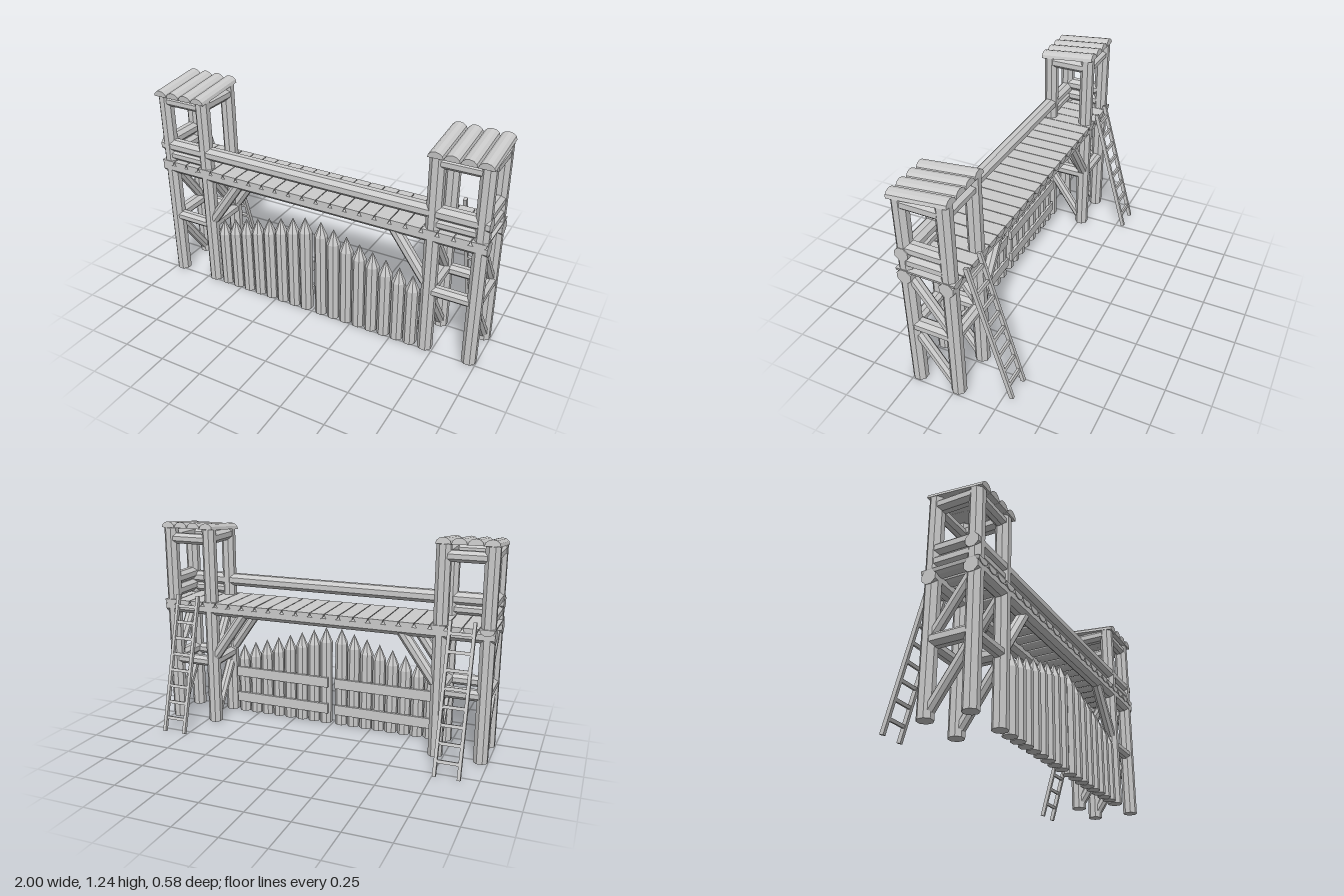
import * as THREE from 'three';

const mat = new THREE.MeshStandardMaterial({ color: 0xcccccc, flatShading: true });
const V = (x, y, z) => new THREE.Vector3(x, y, z);
const UP = V(0, 1, 0);

export function createModel() {
  const root = new THREE.Group();
  root.name = 'palisadeGate';

  const add = (name, geo, parent = root) => {
    const m = new THREE.Mesh(geo, mat);
    m.name = name;
    parent.add(m);
    return m;
  };
  const group = (name) => {
    const g = new THREE.Group();
    g.name = name;
    root.add(g);
    return g;
  };

  // Eight-sided log between two points; r is measured to the flats
  const log = (name, a, b, r, parent) => {
    const R = r / Math.cos(Math.PI / 8);
    const geo = new THREE.CylinderGeometry(R, R, a.distanceTo(b), 8).rotateY(Math.PI / 8);
    const m = add(name, geo, parent);
    m.position.copy(a).add(b).multiplyScalar(0.5);
    m.quaternion.setFromUnitVectors(UP, b.clone().sub(a).normalize());
    return m;
  };

  // Split log running along z: flat below when dir = 1, flat on top when dir = -1
  const splitLog = (r, h, length, dir) => {
    const s = new THREE.Shape();
    for (let i = 0; i <= 6; i++) {
      const t = (i / 6) * Math.PI;
      const x = r * Math.cos(t), y = dir * h * Math.sin(t);
      if (i) s.lineTo(x, y); else s.moveTo(x, y);
    }
    s.closePath();
    return new THREE.ExtrudeGeometry(s, { depth: length, bevelEnabled: false });
  };

  const FZ = 0.222, BZ = -0.014, OX = 0.958, IX = 0.702;

  // Towers, mirrored left and right
  for (const s of [1, -1]) {
    const side = s > 0 ? 'left' : 'right';
    const tower = group(side + 'Tower');
    for (const x of [OX * s, IX * s]) {
      log('frontPost', V(x, 0, FZ), V(x, 1.175, FZ), 0.039, tower);
      log('backPost', V(x, 0, BZ), V(x, 1.2, BZ), 0.039, tower);
      // Side crossbars and diagonal braces
      for (const y of [0.39, 1.147]) log('sideBar', V(x, y, FZ), V(x, y, BZ), 0.036, tower);
      log('lowerBrace', V(x, 0.325, 0.2), V(x, 0.045, 0.005), 0.027, tower);
      log('upperBrace', V(x, 0.695, 0.2), V(x, 0.42, 0.005), 0.027, tower);
    }
    // Front and back crossbars
    for (const z of [FZ, BZ]) {
      for (const y of [0.385, 1.137]) {
        log('crossBar', V(OX * s, y, z), V(IX * s, y, z), 0.031, tower);
      }
    }
    // Parapet rails
    log('frontParapet', V(OX * s, 0.8, FZ), V(IX * s, 0.8, FZ), 0.031, tower);
    for (const y of [0.81, 0.885]) {
      log('sideParapet', V(OX * s, y, FZ), V(OX * s, y, BZ), 0.036, tower);
    }
    // Sloping roof of split logs
    for (let i = 0; i < 4; i++) {
      const m = add('roofLog', splitLog(0.042, 0.036, 0.326, 1), tower);
      m.position.set(s * (0.957 - i * 0.0848), 1.202, -0.054);
      m.rotation.x = 0.104;
    }
    // Knee braces under the walkway
    for (const z of [FZ, BZ]) {
      log('kneeBrace', V(s * 0.68, 0.43, z), V(s * 0.475, 0.72, z), 0.03, tower);
    }

    // Ladder leaning on the back
    const ladder = group(side + 'Ladder');
    const foot = V(s * 0.83, 0.004, -0.295), top = V(s * 0.83, 0.803, -0.066);
    const len = foot.distanceTo(top);
    for (const x of [-0.066, 0.066]) {
      add('ladderRail', new THREE.BoxGeometry(0.018, len, 0.023), ladder).position.x = x;
    }
    for (let i = 0; i < 8; i++) {
      add('rung', new THREE.BoxGeometry(0.13, 0.018, 0.016), ladder)
        .position.y = -len / 2 + 0.083 + i * 0.097;
    }
    ladder.position.copy(foot).add(top).multiplyScalar(0.5);
    ladder.quaternion.setFromUnitVectors(UP, top.clone().sub(foot).normalize());

    // Gate leaf: pointed pales rising to the middle, with two battens behind
    const leaf = group(side + 'GateLeaf');
    for (let i = 0; i < 8; i++) {
      const x = s * (0.05 + i * 0.08), h = 0.52 - i * 0.0243;
      log('pale', V(x, 0, FZ), V(x, h, FZ), 0.036, leaf);
      add('paleTip', new THREE.ConeGeometry(0.039, 0.09, 8).rotateY(Math.PI / 8), leaf)
        .position.set(x, h + 0.045, FZ);
    }
    for (const y of [0.1, 0.27]) {
      add('batten', new THREE.BoxGeometry(0.62, 0.062, 0.018), leaf)
        .position.set(s * 0.333, y, 0.184);
    }
  }

  // Walkway: bearers, handrail and split-log planks
  const walkway = group('walkway');
  log('frontBearer', V(-1, 0.722, FZ), V(1, 0.722, FZ), 0.039, walkway);
  log('backBearer', V(-1, 0.722, BZ), V(1, 0.722, BZ), 0.039, walkway);
  log('handrail', V(-1, 0.859, FZ), V(1, 0.859, FZ), 0.037, walkway);
  for (let i = 0; i < 23; i++) {
    add('plank', splitLog(0.0415, 0.036, 0.325, -1), walkway)
      .position.set((i - 11) * 0.0871, 0.765, -0.06);
  }
  return root;
}
